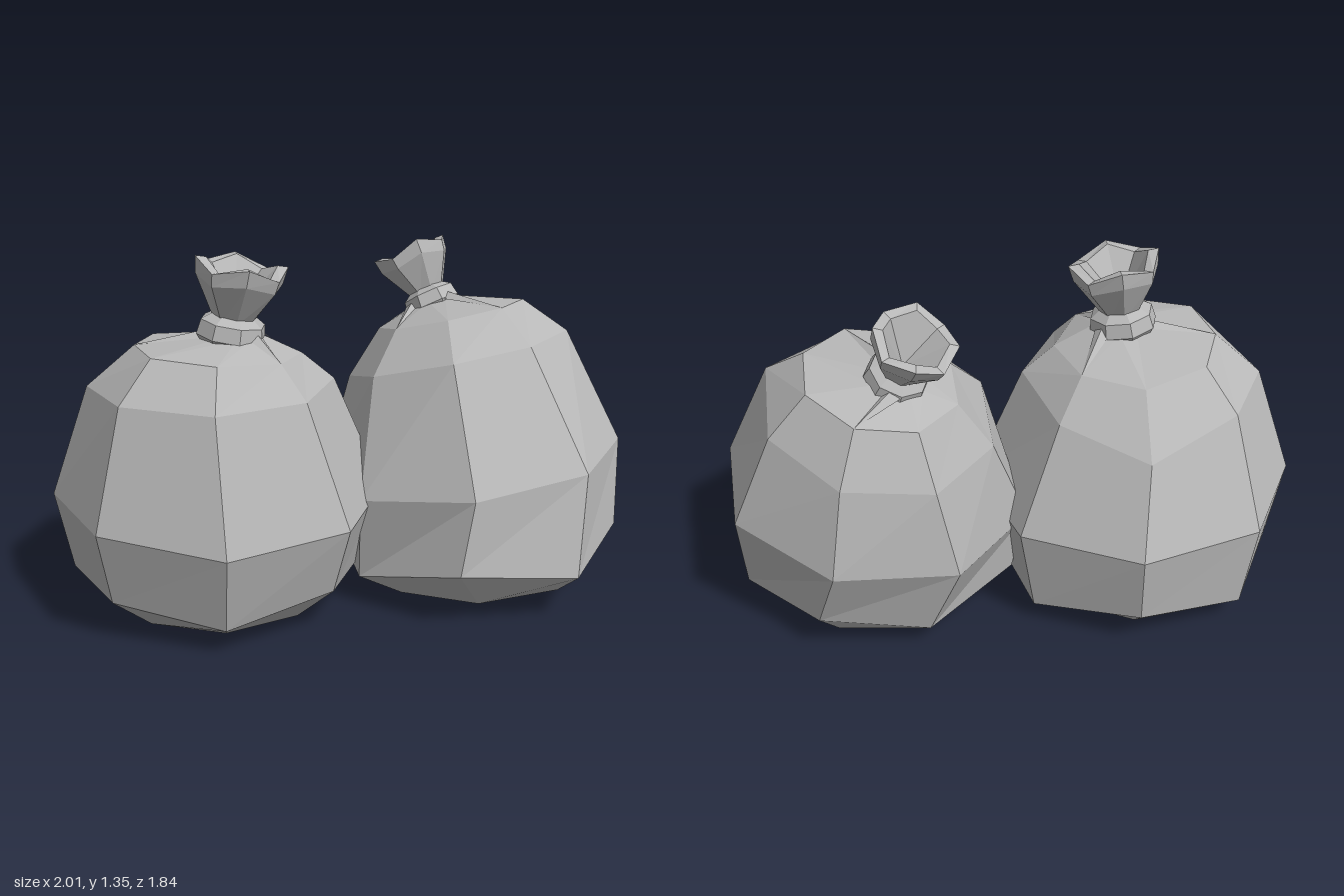
import * as THREE from 'three';

const SIDES = 8;
const greyPlastic = new THREE.MeshStandardMaterial({ color: 0xb8b8b8, flatShading: true });
greyPlastic.name = 'greyPlastic';

// Corner k of a ring: slopes lean the ring, jag zigzags it,
// dr and dy push single corners in, out, up or down
function ringPoint(ring, k, phase) {
  const { x = 0, y, z = 0, r, slopeX = 0, slopeZ = 0, jag = 0, twist = 0, dr, dy } = ring;
  const a = phase + twist + (k / SIDES) * Math.PI * 2;
  const radius = r + (dr ? dr[k] : 0);
  const dx = radius * Math.sin(a), dz = radius * Math.cos(a);
  const lift = (k % 2 ? jag : -jag) + (dy ? dy[k] : 0);
  return new THREE.Vector3(x + dx, y + slopeX * dx + slopeZ * dz + lift, z + dz);
}

function facetedMesh(name, triangles) {
  const geometry = new THREE.BufferGeometry().setFromPoints(triangles);
  geometry.computeVertexNormals();
  const mesh = new THREE.Mesh(geometry, greyPlastic);
  mesh.name = name;
  return mesh;
}

// Skin over a stack of rings, closed with a fan at both ends
function loft(name, rings, phase, endY) {
  const tris = [];
  const p = (i, k) => ringPoint(rings[i], k % SIDES, phase);
  const last = rings.length - 1;
  const centre = (ring, y) => new THREE.Vector3(ring.x ?? 0, y, ring.z ?? 0);
  const bottom = centre(rings[0], rings[0].y);
  const top = centre(rings[last], endY);
  for (let k = 0; k < SIDES; k++) {
    tris.push(bottom, p(0, k + 1), p(0, k));
    for (let i = 0; i < last; i++) {
      tris.push(p(i, k), p(i, k + 1), p(i + 1, k + 1));
      tris.push(p(i, k), p(i + 1, k + 1), p(i + 1, k));
    }
    tris.push(top, p(last, k), p(last, k + 1));
  }
  return facetedMesh(name, tris);
}

// Narrow raised crease from the neck out to a shoulder corner
function fold(neck, shoulder, k, phase) {
  const a = phase + (k / SIDES) * Math.PI * 2;
  const base = ringPoint(neck, k, phase);
  const tip = ringPoint(shoulder, k, phase);
  const side = new THREE.Vector3(Math.cos(a), 0, -Math.sin(a)).multiplyScalar(0.035);
  const ridge = base.clone().add(new THREE.Vector3(0, 0.025, 0));
  return facetedMesh('fold', [
    tip, base.clone().add(side), ridge,
    tip, ridge, base.clone().sub(side),
  ]);
}

// Tied collar and flared, hollow mouth
function makeKnot() {
  const knot = new THREE.Group();
  knot.name = 'knot';
  knot.add(loft('tieCollar', [
    { y: -0.08, r: 0.085 },
    { y: -0.025, r: 0.13 },
    { y: 0.03, r: 0.12 },
    { y: 0.06, r: 0.075 },
  ], 0.2, 0.06));
  knot.add(loft('flaredMouth', [
    { y: 0.03, r: 0.07 },
    { y: 0.18, r: 0.16, jag: 0.01 },
    { y: 0.235, r: 0.17, jag: 0.018 },
    { y: 0.235, r: 0.13, jag: 0.018 },
  ], 0.1, 0.07));
  return knot;
}

function makeBag(name, rings, phase, folds) {
  const bag = new THREE.Group();
  bag.name = name;
  const neck = rings[rings.length - 1], shoulder = rings[rings.length - 2];
  bag.add(loft('sack', rings, phase, neck.y));
  for (const k of folds) bag.add(fold(neck, shoulder, k, phase));
  const knot = makeKnot();
  bag.add(knot);
  return { bag, knot };
}

export function createModel() {
  const model = new THREE.Group();
  model.name = 'tiedBags';

  // Upright bag at the rear
  const rear = makeBag('rearBag', [
    { x: -0.355, y: 0, z: -0.32, r: 0.385 },
    { x: -0.365, y: 0.135, z: -0.315, r: 0.56, dy: [0.02, 0, -0.05, 0.02, -0.035, 0, 0.02, -0.035] },
    { x: -0.375, y: 0.43, z: -0.295, r: 0.625, slopeZ: -0.03, dy: [0, 0, 0, 0, 0, 0, 0.01, -0.02] },
    { x: -0.41, y: 0.865, z: -0.29, r: 0.455,
      dr: [0, 0, 0, 0.04, 0, 0, 0.005, 0], dy: [0, 0, -0.04, -0.1, 0, 0, 0.01, 0] },
    { x: -0.41, y: 0.995, z: -0.27, r: 0.32, slopeX: -0.08, slopeZ: -0.03,
      dr: [0, 0, 0, 0, 0, -0.03, 0, 0], dy: [0, 0, 0, -0.02, 0, 0, 0, 0] },
    { x: -0.37, y: 1.05, z: -0.2, r: 0.09 },
  ], 0, [0, 2, 5]);
  rear.knot.position.set(-0.385, 1.07, -0.205);
  rear.knot.rotation.set(0.14, 0, -0.1);

  // Front bag, slumped backward with its neck leaning to the rear
  const front = makeBag('frontBag', [
    { x: 0.41, y: 0.036, z: 0.39, r: 0.42, slopeZ: 0.083 },
    { x: 0.41, y: 0.165, z: 0.36, r: 0.57, slopeZ: 0.09, jag: 0.035, twist: -0.07,
      dr: [0.02, -0.02, -0.03, -0.02, -0.05, 0, 0, 0.02] },
    { x: 0.43, y: 0.475, z: 0.31, r: 0.59, slopeX: 0.05, slopeZ: 0.14, twist: 0.06 },
    { x: 0.475, y: 0.865, z: 0.21, r: 0.43, slopeX: -0.03, slopeZ: 0.28,
      dr: [-0.03, 0, 0, 0, 0, 0, 0, 0], dy: [0, 0.02, 0, 0, 0, 0, 0, 0] },
    { x: 0.5, y: 1.025, z: 0.16, r: 0.285, slopeX: 0.02, slopeZ: 0.26 },
    { x: 0.5, y: 1.06, z: 0.06, r: 0.09, slopeZ: 0.4 },
  ], -0.24, [0, 3, 6]);
  front.knot.position.set(0.495, 1.07, 0.07);
  front.knot.rotation.x = -0.52;
  front.knot.scale.setScalar(0.9);

  model.add(rear.bag, front.bag);
  return model;
}
